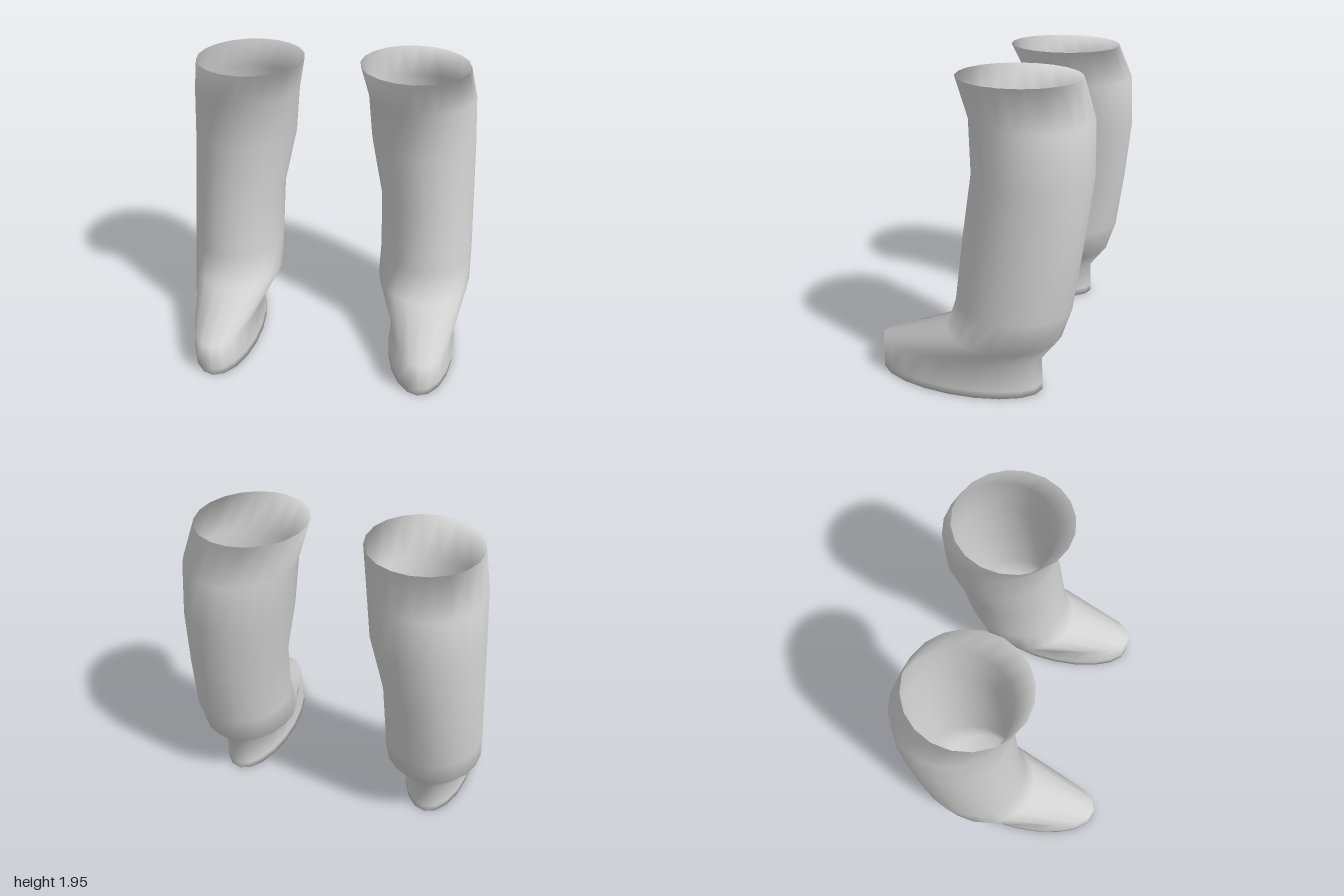
import * as THREE from 'three';

// Cross-sections from the sole up: [y, inner x, outer x, back z, front z]
const SECTIONS = [
  [0.00, 0.46, 0.92, -0.41, 0.675],
  [0.05, 0.463, 0.92, -0.41, 0.675],
  [0.23, 0.48, 0.905, -0.405, 0.67],
  [0.39, 0.355, 1.00, -0.52, 0.21],
  [0.60, 0.36, 1.00, -0.585, 0.14],
  [1.00, 0.345, 0.98, -0.635, 0.095],
  [1.40, 0.26, 0.96, -0.675, 0.05],
  [1.72, 0.23, 0.935, -0.66, 0.07],
  [1.95, 0.18, 0.88, -0.57, 0.17],
];
const SIDES = 20;
const WALL = 0.008;

// Thin-walled open tube: up the outside, over the top edge, down the inside
// and back to the sole edge. Outside and inside meet at both edges.
function bootGeometry(side) {
  const lining = SECTIONS.slice(1, -1).reverse().map(
    ([y, inner, outer, back, front]) =>
      [y, inner + WALL, outer - WALL, back + WALL, front - WALL],
  );
  const rows = [...SECTIONS, ...lining];
  const positions = [];
  const index = [];

  rows.forEach(([y, inner, outer, back, front], i) => {
    const next = (i + 1) % rows.length;
    for (let j = 0; j < SIDES; j++) {
      const angle = (j / SIDES) * Math.PI * 2;
      positions.push(
        side * (inner + outer) / 2 + Math.sin(angle) * (outer - inner) / 2,
        y,
        (back + front) / 2 + Math.cos(angle) * (front - back) / 2,
      );
      const k = (j + 1) % SIDES;
      const a = i * SIDES + j, b = i * SIDES + k;
      const c = next * SIDES + k, d = next * SIDES + j;
      index.push(a, b, c, a, c, d);
    }
  });

  const geometry = new THREE.BufferGeometry();
  geometry.setAttribute('position', new THREE.Float32BufferAttribute(positions, 3));
  geometry.setIndex(index);
  geometry.computeVertexNormals();
  return geometry;
}

export function createModel() {
  const model = new THREE.Group();
  model.name = 'boots';
  const grey = new THREE.MeshStandardMaterial({ color: 0xd2d2d2 });
  grey.name = 'light grey';

  for (const [name, side] of [['leftBoot', 1], ['rightBoot', -1]]) {
    const boot = new THREE.Mesh(bootGeometry(side), grey);
    boot.name = name;
    model.add(boot);
  }
  return model;
}
